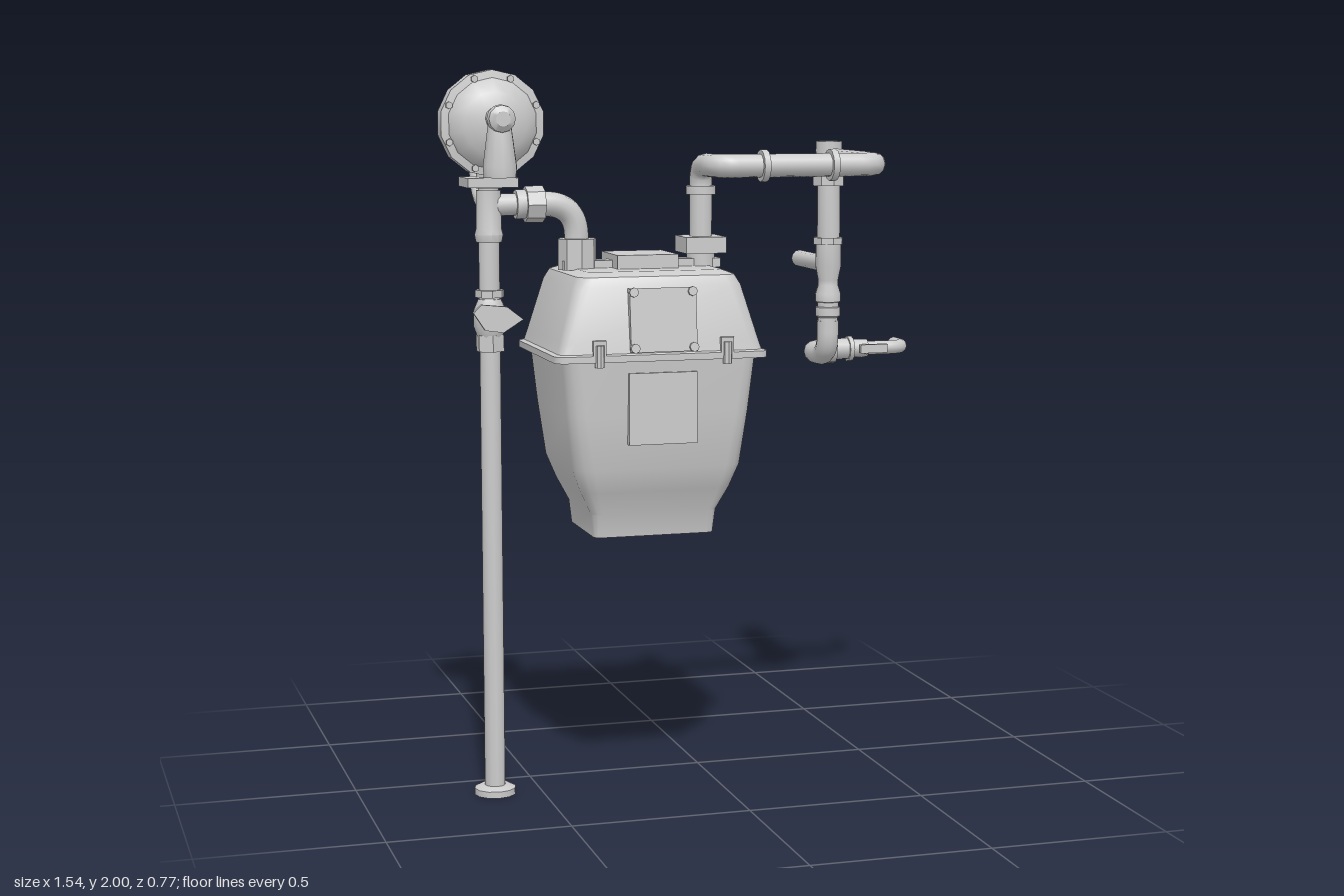
import * as THREE from 'three';
import { toCreasedNormals } from 'three/addons/utils/BufferGeometryUtils.js';

const mat = new THREE.MeshStandardMaterial({ color: 0xcccccc });
const V = (x, y, z) => new THREE.Vector3(x, y, z);

function add(parent, name, geo, x = 0, y = 0, z = 0) {
  const m = new THREE.Mesh(geo, mat);
  m.name = name;
  m.position.set(x, y, z);
  parent.add(m);
  return m;
}
const box = (p, n, w, h, d, x, y, z) => add(p, n, new THREE.BoxGeometry(w, h, d), x, y, z);

// Solid of revolution from [radius, height] pairs, along 'x', 'y' or 'z'
function turned(parent, name, profile, pos, axis = 'y', sides = 12) {
  const geo = new THREE.LatheGeometry(profile.map(([r, h]) => new THREE.Vector2(r, h)), sides);
  if (axis === 'x') geo.rotateZ(-Math.PI / 2);
  if (axis === 'z') geo.rotateX(Math.PI / 2);
  return add(parent, name, toCreasedNormals(geo, 0.65), ...pos);
}
// Capped cylinder, centred on pos
const rod = (parent, name, r, len, pos, axis, sides) =>
  turned(parent, name, [[0, -len / 2], [r, -len / 2], [r, len / 2], [0, len / 2]], pos, axis, sides);

// Pipe along a polyline with rounded corners and capped ends
function pipe(parent, name, pts, r, bend) {
  const path = new THREE.CurvePath();
  let from = pts[0];
  for (let i = 1; i < pts.length - 1; i++) {
    const c = pts[i];
    const a = c.clone().add(pts[i - 1].clone().sub(c).setLength(bend));
    const b = c.clone().add(pts[i + 1].clone().sub(c).setLength(bend));
    if (from.distanceTo(a) > 0.002) path.add(new THREE.LineCurve3(from, a));
    path.add(new THREE.QuadraticBezierCurve3(a, c, b));
    from = b;
  }
  const end = pts[pts.length - 1];
  path.add(new THREE.LineCurve3(from, end));
  add(parent, name, new THREE.TubeGeometry(path, 64, r, 12));
  [[pts[0], pts[1]], [end, pts[pts.length - 2]]].forEach(([p, q]) => {
    const cap = add(parent, name + 'End', new THREE.CircleGeometry(r, 12), p.x, p.y, p.z);
    cap.lookAt(p.clone().multiplyScalar(2).sub(q));
  });
}

// Stack of rounded rectangles: rows of [y, halfX, halfZ, cornerRadius]
function loft(rows) {
  const pos = [], idx = [], n = 16;
  rows.forEach(([y, hx, hz, r]) => {
    for (let i = 0; i < n; i++) {
      const q = Math.floor(i / 4);
      const a = (q + (i % 4) / 3) * Math.PI / 2;
      const sx = q === 0 || q === 3 ? 1 : -1, sz = q < 2 ? 1 : -1;
      pos.push(sx * (hx - r) + Math.cos(a) * r, y, sz * (hz - r) + Math.sin(a) * r);
    }
  });
  const top = rows.length - 1;
  for (let k = 0; k < top; k++) for (let i = 0; i < n; i++) {
    const a = k * n + i, b = k * n + (i + 1) % n;
    idx.push(a, a + n, b, b, a + n, b + n);
  }
  for (let i = 1; i < n - 1; i++) idx.push(0, i, i + 1, top * n, top * n + i + 1, top * n + i);
  const g = new THREE.BufferGeometry();
  g.setAttribute('position', new THREE.Float32BufferAttribute(pos, 3));
  g.setIndex(idx);
  return toCreasedNormals(g, 0.6);
}

function group(parent, name, x = 0, y = 0, z = 0) {
  const g = new THREE.Group();
  g.name = name;
  g.position.set(x, y, z);
  parent.add(g);
  return g;
}

function buildMeter(root) {
  const g = group(root, 'meter', -0.205, 0, 0.135);
  add(g, 'lowerBody', loft([
    [0.735, 0.17, 0.143, 0.02], [0.80, 0.177, 0.153, 0.025], [0.865, 0.21, 0.184, 0.04],
    [0.93, 0.236, 0.205, 0.05], [1.08, 0.255, 0.217, 0.045], [1.235, 0.27, 0.228, 0.04]]));
  add(g, 'cover', loft([
    [1.228, 0.298, 0.241, 0.03], [1.246, 0.298, 0.241, 0.03], [1.25, 0.285, 0.234, 0.03],
    [1.28, 0.277, 0.229, 0.035], [1.425, 0.236, 0.207, 0.04], [1.452, 0.222, 0.193, 0.04],
    [1.464, 0.19, 0.16, 0.03]]));
  // Front plates
  box(g, 'namePlate', 0.19, 0.195, 0.03, 0, 1.098, 0.217);
  const win = group(g, 'indexWindow', 0, 1.337, 0.222);
  win.rotation.x = -0.1;
  box(win, 'indexCase', 0.185, 0.172, 0.03, 0, 0, 0);
  for (const sx of [-1, 1]) for (const sy of [-1, 1])
    rod(win, 'screw', 0.013, 0.012, [sx * 0.082, sy * 0.075, 0.017], 'z', 8);
  // Cover clips, front and back
  for (const sx of [-1, 1]) for (const sz of [-1, 1]) {
    box(g, 'clip', 0.036, 0.05, 0.024, sx * 0.178, 1.262, sz * 0.23);
    rod(g, 'clipBolt', 0.013, 0.06, [sx * 0.178, 1.245, sz * 0.238], 'y', 8);
  }
  // Top fittings
  box(g, 'topBar', 0.45, 0.025, 0.055, 0, 1.472, -0.005);
  box(g, 'topPlate', 0.172, 0.045, 0.175, 0, 1.479, -0.007);
  rod(g, 'inletNut', 0.054, 0.085, [-0.178, 1.502, -0.006], 'y', 8);
  rod(g, 'outletNeck', 0.04, 0.07, [0.175, 1.485, -0.005]);
  box(g, 'outletBlock', 0.115, 0.045, 0.115, 0.175, 1.522, -0.005);
}

function buildInlet(root) {
  const g = group(root, 'inletRiser', -0.63, 0, 0.135);
  rod(g, 'post', 0.029, 1.68, [0, 0.85, 0]);
  turned(g, 'baseFlange', [[0, 0], [0.058, 0], [0.058, 0.018], [0.042, 0.026], [0, 0.026]], [0, 0, 0]);
  // Shut-off valve
  rod(g, 'valveNut', 0.04, 0.045, [0, 1.265, 0], 'y', 6);
  turned(g, 'valveBody', [[0, -0.05], [0.034, -0.05], [0.045, -0.02], [0.045, 0.025], [0.032, 0.055], [0, 0.055]], [0, 1.33, 0]);
  rod(g, 'valveCollar', 0.04, 0.02, [0, 1.4, 0], 'y', 8);
  rod(g, 'valveStem', 0.03, 0.05, [0, 1.335, 0.05], 'z', 8);
  const s = new THREE.Shape([[-0.062, 0.02], [-0.03, -0.028], [0.02, -0.035], [0.075, 0.0], [0.03, 0.035], [-0.04, 0.042]]
    .map(([x, y]) => new THREE.Vector2(x, y)));
  add(g, 'valveLever', new THREE.ExtrudeGeometry(s, { depth: 0.014, bevelEnabled: false }), 0, 1.335, 0.07);
  // Tee and elbow to the meter
  turned(g, 'tee', [[0, 1.54], [0.036, 1.54], [0.04, 1.56], [0.036, 1.575], [0.034, 1.68], [0, 1.68]], [0, 0, 0]);
  rod(g, 'teeBranch', 0.03, 0.12, [0.06, 1.64, 0], 'x');
  rod(g, 'branchNut', 0.05, 0.05, [0.125, 1.64, 0], 'x', 8);
  rod(g, 'branchCollar', 0.04, 0.03, [0.088, 1.64, 0], 'x');
  pipe(g, 'inletElbow', [V(0.1, 1.64, 0), V(0.245, 1.64, -0.006), V(0.245, 1.5, -0.006)], 0.034, 0.09);
}

function buildRegulator(root) {
  const g = group(root, 'regulator', -0.63, 1.86, 0);
  box(g, 'mountPlate', 0.138, 0.026, 0.13, 0, -0.158, 0.135);
  rod(g, 'neck', 0.034, 0.17, [0, -0.09, 0.135]);
  turned(g, 'diaphragmCase', [[0, 0.15], [0.143, 0.15], [0.143, 0.197], [0.122, 0.2], [0.116, 0.212],
    [0.085, 0.232], [0.045, 0.246], [0, 0.246]], [0, 0, 0], 'z', 14);
  for (let i = 0; i < 8; i++) {
    const a = (i + 0.5) * Math.PI / 4;
    rod(g, 'caseBolt', 0.01, 0.014, [Math.cos(a) * 0.128, Math.sin(a) * 0.128, 0.201], 'z', 6);
  }
  // Vent on the front, turned downward
  turned(g, 'ventNeck', [[0.03, 0.23], [0.028, 0.295], [0.038, 0.3], [0.036, 0.322], [0.02, 0.334], [0, 0.334]],
    [0, 0.015, 0], 'z');
  turned(g, 'ventSpout', [[0, -0.14], [0.044, -0.14], [0.046, -0.11], [0.034, -0.02], [0.03, 0.015], [0, 0.03]], [0, 0, 0.285]);
  // Return tube behind the case
  pipe(g, 'sensingTube', [V(0, 0.012, 0.16), V(0, 0.012, -0.012), V(0, -0.215, -0.012), V(0, -0.215, 0.135)], 0.023, 0.108);
}

function buildOutlet(root) {
  const g = group(root, 'outletPiping');
  pipe(g, 'overheadPipe', [V(-0.03, 1.52, 0.13), V(-0.03, 1.743, 0.13), V(-0.03, 1.743, 0.284),
    V(0.44, 1.743, 0.284), V(0.44, 1.743, -0.125)], 0.032, 0.055);
  rod(g, 'riserCollar', 0.042, 0.024, [-0.03, 1.672, 0.13]);
  for (const x of [0.103, 0.302]) rod(g, 'pipeCollar', 0.044, 0.018, [x, 1.743, 0.284], 'x');
  // Vertical drop with tee, reducer and union
  const d = group(g, 'drop', 0.437, 0, -0.125);
  turned(d, 'dropFittings', [[0, 1.24], [0.03, 1.24], [0.03, 1.28], [0.037, 1.285], [0.037, 1.31],
    [0.032, 1.312], [0.032, 1.325], [0.038, 1.327], [0.038, 1.35], [0.03, 1.375], [0.03, 1.39],
    [0.038, 1.43], [0.038, 1.5], [0.034, 1.5], [0.034, 1.67], [0.039, 1.67], [0.039, 1.795], [0, 1.795]], [0, 0, 0]);
  rod(d, 'upperCollar', 0.048, 0.028, [0, 1.68, 0], 'y', 8);
  rod(d, 'middleCollar', 0.045, 0.02, [0, 1.505, 0], 'y', 8);
  rod(d, 'sideBranch', 0.025, 0.26, [0, 1.435, -0.13], 'z');
  // Lower run: elbow back, shut-off, curved tail
  pipe(g, 'lowerElbow', [V(0.437, 1.27, -0.125), V(0.437, 1.165, -0.125), V(0.437, 1.165, -0.293), V(0.56, 1.165, -0.293)], 0.032, 0.07);
  rod(g, 'elbowCollar', 0.042, 0.022, [0.505, 1.165, -0.293], 'x');
  rod(g, 'tailValve', 0.028, 0.1, [0.57, 1.165, -0.293], 'x');
  rod(g, 'tailCollar', 0.038, 0.014, [0.565, 1.165, -0.293], 'x');
  rod(g, 'tailStem', 0.014, 0.05, [0.605, 1.165, -0.27], 'z', 8);
  box(g, 'tailHandle', 0.085, 0.026, 0.016, 0.628, 1.168, -0.248);
  pipe(g, 'tailPipe', [V(0.58, 1.165, -0.293), V(0.745, 1.165, -0.293), V(0.745, 1.165, -0.385)], 0.021, 0.055);
}

export function createModel() {
  const root = new THREE.Group();
  root.name = 'gasMeterSet';
  buildMeter(root);
  buildInlet(root);
  buildRegulator(root);
  buildOutlet(root);
  return root;
}
